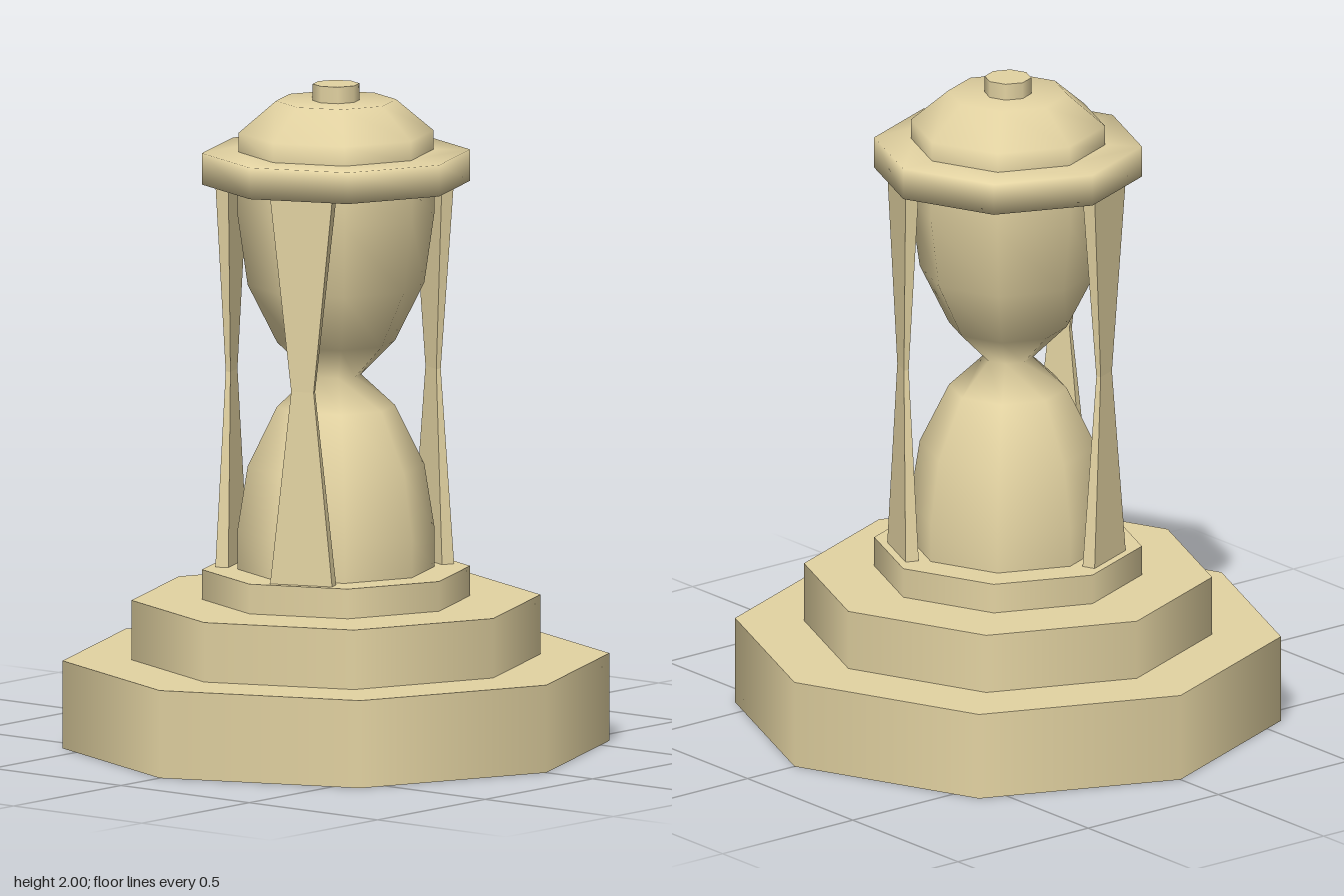
import * as THREE from 'three';

const SIDES = 8;

export function createModel() {
  const model = new THREE.Group();
  const smooth = new THREE.MeshStandardMaterial({ color: 0xe3d3a2 });
  const faceted = smooth.clone();
  faceted.flatShading = true;

  const add = (name, geometry, material = smooth) => {
    const mesh = new THREE.Mesh(geometry, material);
    mesh.name = name;
    model.add(mesh);
    return mesh;
  };
  const disc = (name, radius, y0, y1) =>
    add(name, new THREE.CylinderGeometry(radius, radius, y1 - y0, SIDES)).position.y = (y0 + y1) / 2;
  // Profiles run from bottom to top as [radius, y]
  const lathe = (name, profile) =>
    add(name, new THREE.LatheGeometry(profile.map(([r, y]) => new THREE.Vector2(r, y)), SIDES));

  // Stepped octagonal base
  disc('lowerStep', 0.82, 0, 0.265);
  disc('middleStep', 0.613, 0.265, 0.445);
  disc('lowerPlate', 0.402, 0.445, 0.535);

  // Two glass bulbs meeting at a narrow neck
  lathe('glass', [
    [0.296, 0.535], [0.296, 0.65], [0.265, 0.845], [0.177, 1.025], [0.075, 1.12],
    [0.177, 1.22], [0.265, 1.395], [0.296, 1.61], [0.296, 1.7],
  ]);

  // Top plate, domed cap and knob
  lathe('upperPlate', [[0, 1.7], [0.402, 1.7], [0.402, 1.795], [0.28, 1.797]]);
  lathe('cap', [[0.292, 1.79], [0.292, 1.855], [0.18, 1.95], [0, 1.95]]);
  disc('knob', 0.07, 1.94, 2);

  // Three flat pillars pinched at the middle, each on one side of the octagon
  const bottom = 0.53, top = 1.705;
  const pillar = new THREE.BoxGeometry(0.195, top - bottom, 0.041, 1, 2, 1);
  const p = pillar.attributes.position;
  for (let i = 0; i < p.count; i++) {
    if (Math.abs(p.getY(i)) < 0.01) p.setXYZ(i, p.getX(i) * 0.36, 0, p.getZ(i) * 0.36);
  }
  pillar.computeVertexNormals();
  for (const [name, degrees] of [['leftPillar', 67.5], ['rightPillar', -67.5], ['backPillar', 202.5]]) {
    const a = THREE.MathUtils.degToRad(degrees);
    const mesh = add(name, pillar, faceted);
    mesh.position.set(0.327 * Math.sin(a), (bottom + top) / 2, 0.327 * Math.cos(a));
    mesh.rotation.y = a;
  }

  return model;
}
